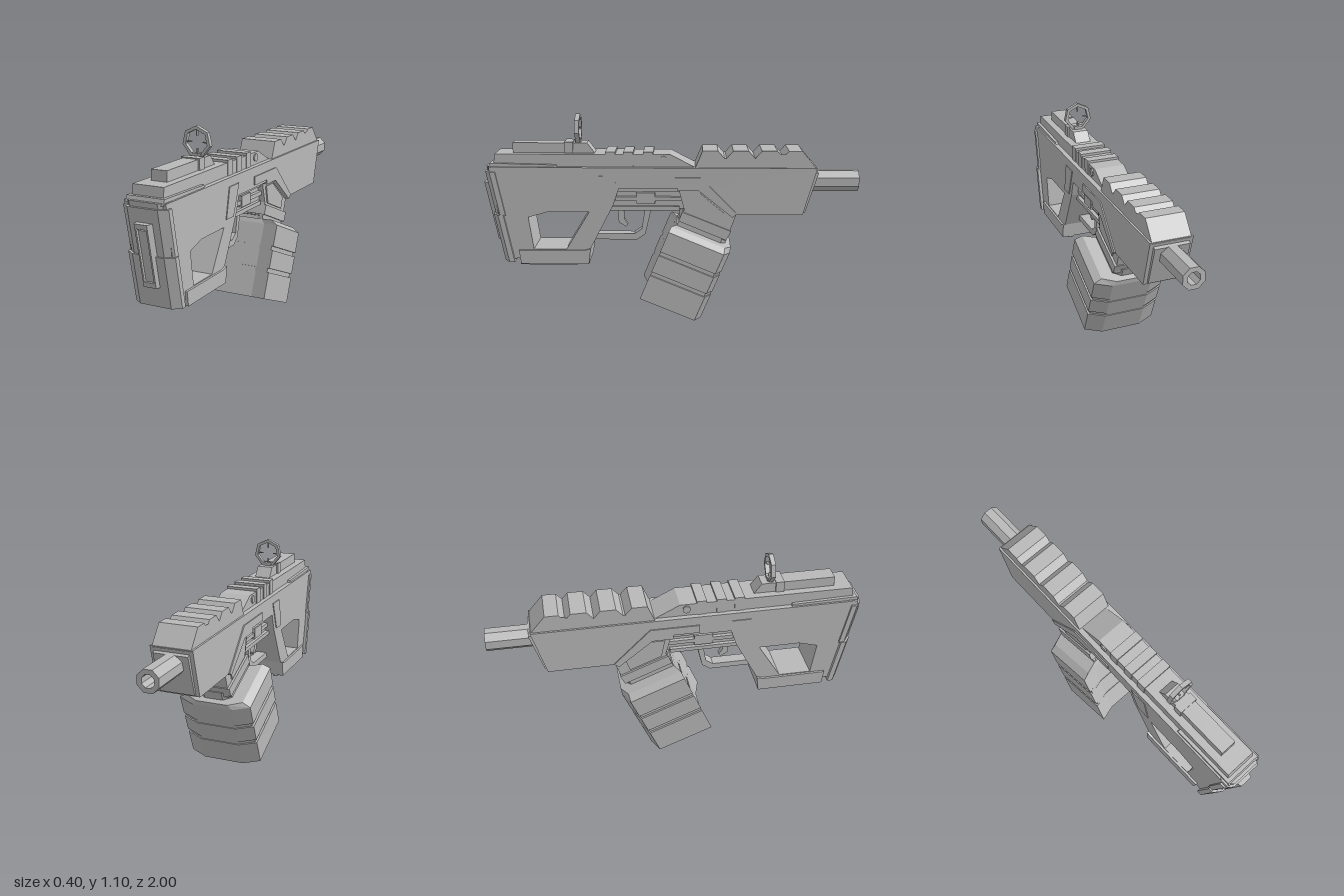
import * as THREE from 'three';

const grey = new THREE.MeshStandardMaterial({ color: 0xb8b8b8 });
grey.name = 'plain grey';

export function createModel() {
  const root = new THREE.Group();

  // Every part is faceted: split the corners and give each face its own normal
  function add(name, geo, parent = root) {
    const g = geo.index ? geo.toNonIndexed() : geo;
    g.computeVertexNormals();
    const m = new THREE.Mesh(g, grey);
    m.name = name;
    parent.add(m);
    return m;
  }
  const poly = (pts, T = THREE.Shape) => new T(pts.map(p => new THREE.Vector2(p[0], p[1])));

  // Side profile of (z, y) points, spread to both sides of x = 0
  function profile(pts, half, holes = []) {
    const s = poly(pts);
    holes.forEach(h => s.holes.push(poly(h, THREE.Path)));
    const g = new THREE.ExtrudeGeometry(s, { depth: 2 * half, bevelEnabled: false });
    g.translate(0, 0, -half);
    return g.rotateY(-Math.PI / 2);
  }
  // Plan outline of (x, z) points raised from y0 to y1, leaning back below y = 0.8
  function column(pts, y0, y1) {
    const g = new THREE.ExtrudeGeometry(poly(pts.map(([x, z]) => [x, -z])), { depth: y1 - y0, bevelEnabled: false });
    g.rotateX(-Math.PI / 2).translate(0, y0, 0);
    const p = g.attributes.position;
    for (let i = 0; i < p.count; i++) p.setZ(i, p.getZ(i) + 0.2 * (p.getY(i) - 0.8));
    return g;
  }
  const box = (x0, x1, y0, y1, z0, z1) => new THREE.BoxGeometry(x1 - x0, y1 - y0, z1 - z0)
    .translate((x0 + x1) / 2, (y0 + y1) / 2, (z0 + z1) / 2);
  // Thin side detail, repeated on both sides
  function sidePair(name, pts, x, thick) {
    for (const s of [-1, 1]) add(name, profile(pts, thick / 2).translate(s * x, 0, 0));
  }

  // Main shell with the open stock and slanted grip
  add('body', profile([
    [0.955, 0.83], [-0.77, 0.83], [-0.70, 0.58], [-0.36, 0.58], [-0.18, 0.72], [0.27, 0.72],
    [0.30, 0.63], [0.435, 0.37], [0.80, 0.34], [0.86, 0.32], [0.90, 0.50],
  ], 0.11, [[[0.755, 0.56], [0.73, 0.385], [0.555, 0.385], [0.43, 0.59], [0.65, 0.59]]]));
  add('muzzleFrame', profile([[-0.755, 0.81], [-0.78, 0.80], [-0.715, 0.59], [-0.69, 0.59]], 0.09));
  for (let i = 0; i < 4; i++) {
    const z = -0.48 - i * 0.05;
    add('ventRib', box(-0.07, 0.07, 0.576, 0.585, z - 0.012, z + 0.012));
  }

  // Barrel, hollow and eight-sided
  add('barrel', new THREE.LatheGeometry([[0.034, 0.15], [0.034, -0.3], [0.06, -0.3], [0.06, 0.15]]
    .map(p => new THREE.Vector2(p[0], p[1])), 8, Math.PI / 8).rotateX(Math.PI / 2).translate(0, 0.747, -0.7));
  add('barrelPlug', new THREE.CylinderGeometry(0.045, 0.045, 0.02, 8, 1, false, Math.PI / 8)
    .rotateX(Math.PI / 2).translate(0, 0.747, -0.85));

  // Toothed front rail
  const rail = [[-0.13, 0.825]];
  for (const [a, b] of [[-0.17, -0.25], [-0.33, -0.41], [-0.48, -0.56], [-0.62, -0.69]]) {
    if (a < -0.2) rail.push([a + 0.035, 0.88]);
    rail.push([a, 0.92], [b, 0.92]);
    if (b > -0.6) rail.push([b - 0.035, 0.88]);
  }
  rail.push([-0.77, 0.825]);
  add('frontRail', profile(rail, 0.1));

  // Rear deck, ribs and pin
  add('rearDeck', profile([[0.935, 0.825], [0.925, 0.897], [0, 0.897], [-0.14, 0.825]], 0.083));
  add('deckStep', profile([[0.96, 0.82], [0.95, 0.85], [0.60, 0.842], [0.59, 0.82]], 0.1));
  for (const z of [0.315, 0.22, 0.115]) {
    add('deckRib', box(-0.087, 0.087, 0.83, 0.91, z - 0.026, z + 0.026));
  }
  add('deckPin', new THREE.CylinderGeometry(0.022, 0.022, 0.18, 7).rotateZ(Math.PI / 2).translate(0, 0.868, 0.035));

  // Ring sight on its base
  const sight = new THREE.Group();
  sight.name = 'sight';
  root.add(sight);
  add('sightBase', profile([[0.835, 0.89], [0.835, 0.95], [0.44, 0.95], [0.395, 0.89]], 0.043), sight);
  add('sightClamp', box(-0.052, 0.052, 0.89, 0.956, 0.515, 0.56), sight);
  add('ringFoot', box(-0.025, 0.025, 0.945, 0.965, 0.475, 0.505), sight);
  const ngon = (r, T) => poly(Array.from({ length: 7 }, (_, i) => {
    const a = Math.PI / 2 + i * Math.PI * 2 / 7;
    return [r * Math.cos(a), r * Math.sin(a)];
  }), T);
  const ring = ngon(0.078, THREE.Shape);
  ring.holes.push(ngon(0.061, THREE.Path));
  add('sightRing', new THREE.ExtrudeGeometry(ring, { depth: 0.024, bevelEnabled: false }).translate(0, 1.022, 0.478), sight);
  for (let i = 0; i < 4; i++) {
    const tick = new THREE.BoxGeometry(0.028, 0.005, 0.012).translate(0.045, 0, 0).rotateZ(i * Math.PI / 2);
    add('sightTick', tick.translate(0, 1.02, 0.49), sight);
  }

  // Butt plate in two leaning halves with a raised frame
  const plan = (half, inner, back, front) => [[-half, back], [half, back], [half, front - 0.03], [inner, front], [-inner, front], [-half, front - 0.03]];
  add('buttUpper', column(plan(0.12, 0.08, 0.92, 0.978), 0.57, 0.805));
  add('buttCap', column(plan(0.108, 0.075, 0.90, 0.965), 0.80, 0.832));
  add('buttLower', column(plan(0.127, 0.085, 0.93, 0.988), 0.315, 0.575));
  for (const s of [-1, 1]) {
    add('buttFrameSide', column([[s * 0.046, 0.97], [s * 0.026, 0.97], [s * 0.026, 1.01], [s * 0.034, 1.01]], 0.42, 0.735));
  }
  for (const y of [0.42, 0.71]) {
    add('buttFrameEnd', column([[-0.04, 0.97], [0.04, 0.97], [0.03, 1.01], [-0.03, 1.01]], y, y + 0.025));
  }
  add('buttFrameInset', box(-0.03, 0.03, 0, 0.265, 0, 0.02).rotateX(0.197).translate(0, 0.445, 0.905));

  // Foot under the stock
  add('stockFoot', profile([[0.81, 0.38], [0.80, 0.305], [0.435, 0.305], [0.425, 0.39], [0.46, 0.38]], 0.122));
  add('footPad', box(-0.085, 0.085, 0.29, 0.31, 0.50, 0.81));
  for (const s of [-1, 1]) add('footPin', new THREE.CylinderGeometry(0.018, 0.018, 0.03, 8).translate(s * 0.07, 0.31, 0.455));

  // Raised side panels
  sidePair('gripPanel', [[0.375, 0.785], [0.275, 0.785], [0.335, 0.625], [0.41, 0.625]], 0.11, 0.009);
  sidePair('chevron', [
    [0.10, 0.78], [-0.16, 0.78], [-0.285, 0.655], [-0.355, 0.585], [-0.33, 0.565],
    [-0.15, 0.71], [-0.04, 0.71], [-0.04, 0.735], [0.10, 0.735],
  ], 0.1, 0.032);

  // Receiver core visible through the side slot
  add('receiverCore', box(-0.055, 0.055, 0.60, 0.73, -0.10, 0.31));
  for (const [y, z0, z1] of [[0.705, -0.06, 0.28], [0.655, -0.06, 0.29], [0.603, -0.05, 0.42]]) {
    add('receiverBar', box(-0.075, 0.075, y - 0.011, y + 0.011, z0, z1));
  }
  add('receiverBlock', box(-0.08, 0.08, 0.63, 0.69, 0.08, 0.18));

  // Trigger and guard
  add('triggerGuard', profile([
    [0.42, 0.418], [0.18, 0.418], [0.135, 0.45], [0.10, 0.60], [0.135, 0.60],
    [0.155, 0.478], [0.195, 0.45], [0.42, 0.45],
  ], 0.03));
  add('trigger', profile([[0.285, 0.60], [0.28, 0.51], [0.24, 0.485], [0.23, 0.50], [0.25, 0.53], [0.25, 0.60]], 0.014));

  // Magazine well
  add('magazineWell', profile([
    [-0.04, 0.73], [-0.19, 0.73], [-0.355, 0.585], [-0.30, 0.43], [-0.05, 0.53], [-0.075, 0.60],
  ], 0.088));
  add('wellCollar', profile([[-0.045, 0.54], [-0.065, 0.59], [-0.325, 0.485], [-0.30, 0.435]], 0.1));
  sidePair('wellPanel', [[-0.08, 0.69], [-0.16, 0.69], [-0.29, 0.58], [-0.27, 0.52], [-0.10, 0.59]], 0.088, 0.014);

  // Leaning magazine: a swept section, with its x and depth scaled at each level for neck and grooves
  const section = [[0.2, 0.17], [0.11, 0.14], [-0.11, 0.14], [-0.2, 0.17], [-0.2, -0.145], [-0.11, -0.183], [0.11, -0.183], [0.2, -0.145]];
  const levels = [[0.26, 0.46, 0.8], [0.21, 0.46, 0.8], [0.21, 0.8, 0.97], [0.185, 1, 1]];
  for (const h of [0.07, -0.05]) levels.push([h, 1, 1], [h, 0.945, 0.98], [h - 0.022, 0.945, 0.98], [h - 0.022, 1, 1]);
  levels.push([-0.214, 1, 1]);
  const pos = [], idx = [], n = section.length, last = (levels.length - 1) * n;
  for (const [h, sx, sw] of levels) for (const [x, w] of section) pos.push(x * sx, h, w * sw);
  for (let k = 0; k < last; k += n) {
    for (let i = 0; i < n; i++) {
      const a = k + i, b = k + (i + 1) % n;
      idx.push(a, a + n, b, b, a + n, b + n);
    }
  }
  // Cap quads: right wing, middle, left wing
  for (const [a, b, c, d] of [[0, 1, 6, 7], [1, 2, 5, 6], [2, 3, 4, 5]]) {
    idx.push(a, b, c, a, c, d);
    idx.push(...[a, c, b, a, d, c].map(k => k + last));
  }
  // The section runs counter to the sweep, so the whole list is reversed to face outward
  const mag = new THREE.BufferGeometry();
  mag.setAttribute('position', new THREE.Float32BufferAttribute(pos, 3));
  mag.setIndex(idx.reverse());
  mag.rotateX(-0.395).translate(0, 0.27, -0.08);
  add('magazine', mag);

  return root;
}
